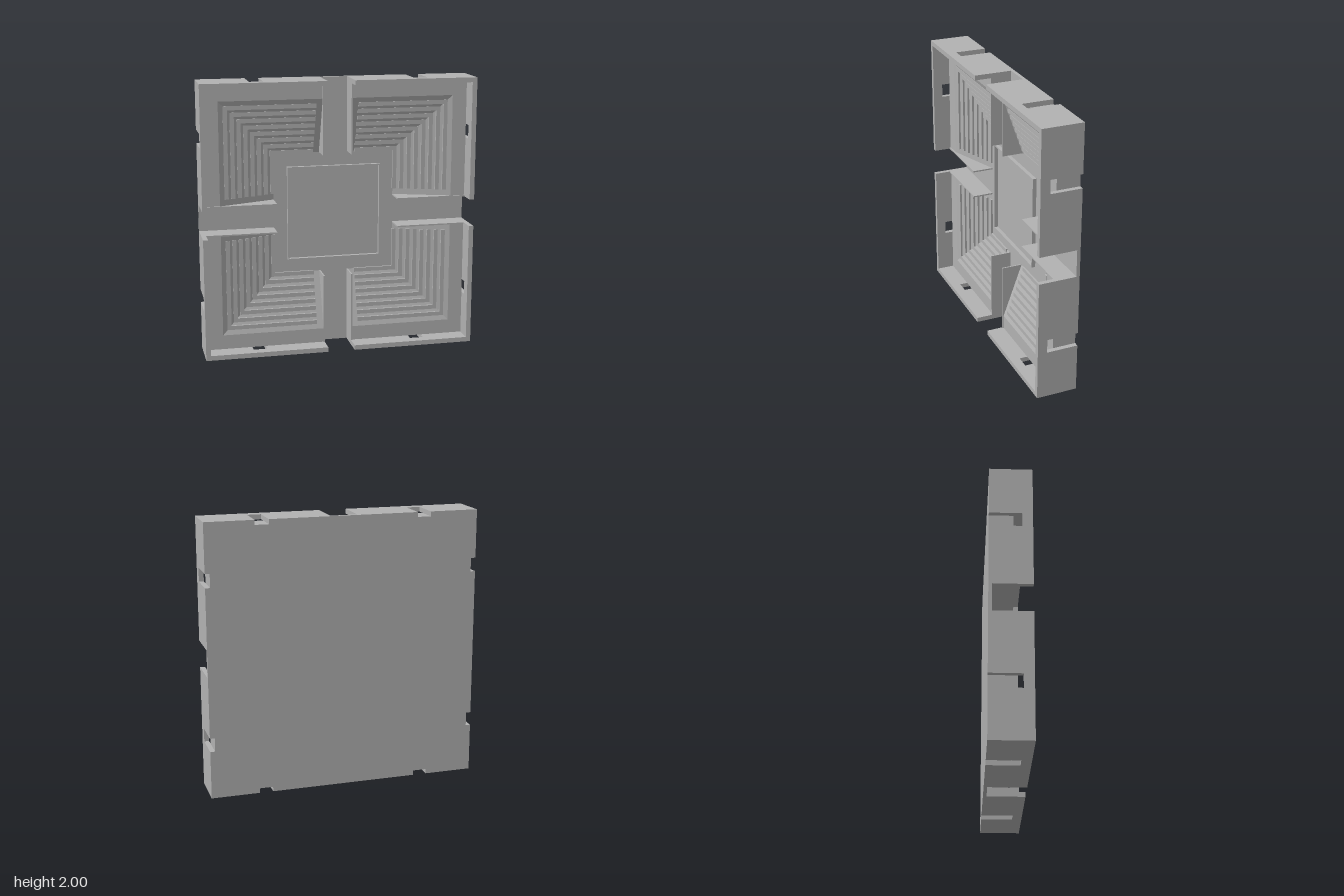
import * as THREE from 'three';

const BACK = -0.15, FRONT = 0.15, FLOOR = -0.125;
const WALL = 0.035, INNER = 1 - WALL, GAP = 0.1;
const SLOPE = 0.354, RAMP_START = 0.45;

const grey = new THREE.MeshStandardMaterial({ color: 0xb2b2b2 });
grey.name = 'grey';

function add(parent, name, geometry) {
  const mesh = new THREE.Mesh(geometry, grey);
  mesh.name = name;
  parent.add(mesh);
  return mesh;
}

// box given by its minimum and maximum corners
function block(parent, name, x0, x1, y0, y1, z0, z1) {
  const mesh = add(parent, name, new THREE.BoxGeometry(x1 - x0, y1 - y0, z1 - z0));
  mesh.position.set((x0 + x1) / 2, (y0 + y1) / 2, (z0 + z1) / 2);
  return mesh;
}

// sweeps a clockwise (distance, height) profile along an L with a mitred corner
function mitredL(profile, start) {
  const rows = profile.map(([d, z]) => [[d, start, z], [d, d, z], [start, d, z]]);
  const pos = [];
  const tri = (a, b, c) => pos.push(...a, ...b, ...c);
  const n = rows.length;
  for (let k = 0; k < n; k++) {
    const p = rows[k], q = rows[(k + 1) % n];
    for (let j = 0; j < 2; j++) {
      tri(p[j], q[j], q[j + 1]);
      tri(p[j], q[j + 1], p[j + 1]);
    }
  }
  for (let k = 1; k < n - 1; k++) {
    tri(rows[0][0], rows[k + 1][0], rows[k][0]);
    tri(rows[0][2], rows[k][2], rows[k + 1][2]);
  }
  const g = new THREE.BufferGeometry();
  g.setAttribute('position', new THREE.Float32BufferAttribute(pos, 3));
  g.computeVertexNormals();
  return g;
}

// outer wall with a clip slot that opens to the back
function wallGeometry(end) {
  const shape = new THREE.Shape([
    [GAP, BACK], [0.545, BACK], [0.545, 0.08], [0.645, 0.08],
    [0.645, BACK], [end, BACK], [end, FRONT], [GAP, FRONT],
  ].map(([t, z]) => new THREE.Vector2(t, z)));
  return new THREE.ExtrudeGeometry(shape, { depth: WALL, bevelEnabled: false });
}

function createQuadrant() {
  const q = new THREE.Group();
  q.name = 'quadrant';

  // two outer walls meeting at the corner
  add(q, 'edgeWall', wallGeometry(1).rotateX(Math.PI / 2).translate(0, 1, 0));
  const turn = new THREE.Matrix4().makeBasis(
    new THREE.Vector3(0, 1, 0), new THREE.Vector3(0, 0, 1), new THREE.Vector3(1, 0, 0));
  add(q, 'sideWall', wallGeometry(INNER).applyMatrix4(turn).translate(INNER, 0, 0));

  // sloped pocket floor rising to the walls
  const top = 0.02, rampEnd = RAMP_START + (top - FLOOR) / SLOPE;
  add(q, 'slopedFloor', mitredL([
    [RAMP_START, FLOOR], [rampEnd, top], [INNER, top], [INNER, FLOOR],
  ], GAP + 0.005));

  // nested L-shaped ridges
  for (let i = 0; i < 8; i++) {
    const c = 0.445 + i * 0.05;
    const r = FLOOR + Math.max(0, c - RAMP_START) * SLOPE;
    add(q, 'ridge', mitredL([
      [c, r - 0.005], [c, r + 0.014], [c + 0.03, r + 0.014], [c + 0.03, r - 0.005],
    ], 0.155));
  }

  // thin fins beside the cross channel
  block(q, 'channelFin', GAP, GAP + 0.01, RAMP_START, INNER, FLOOR, 0.03);
  block(q, 'channelFin', RAMP_START, INNER, GAP, GAP + 0.01, FLOOR, 0.03);

  // plate edge at the channel mouth and one side of the central frame
  block(q, 'plateEdge', -GAP, GAP, INNER, 1, BACK, FLOOR);
  block(q, 'centreFrame', -0.35, 0.34, 0.34, 0.35, FLOOR, -0.097);
  return q;
}

export function createModel() {
  const model = new THREE.Group();
  model.name = 'slottedPanel';
  block(model, 'basePlate', -INNER, INNER, -INNER, INNER, BACK, FLOOR);
  for (let i = 0; i < 4; i++) {
    const q = createQuadrant();
    q.rotation.z = i * Math.PI / 2;
    model.add(q);
  }
  model.position.y = 1;
  const root = new THREE.Group();
  root.name = 'panel';
  root.add(model);
  return root;
}
